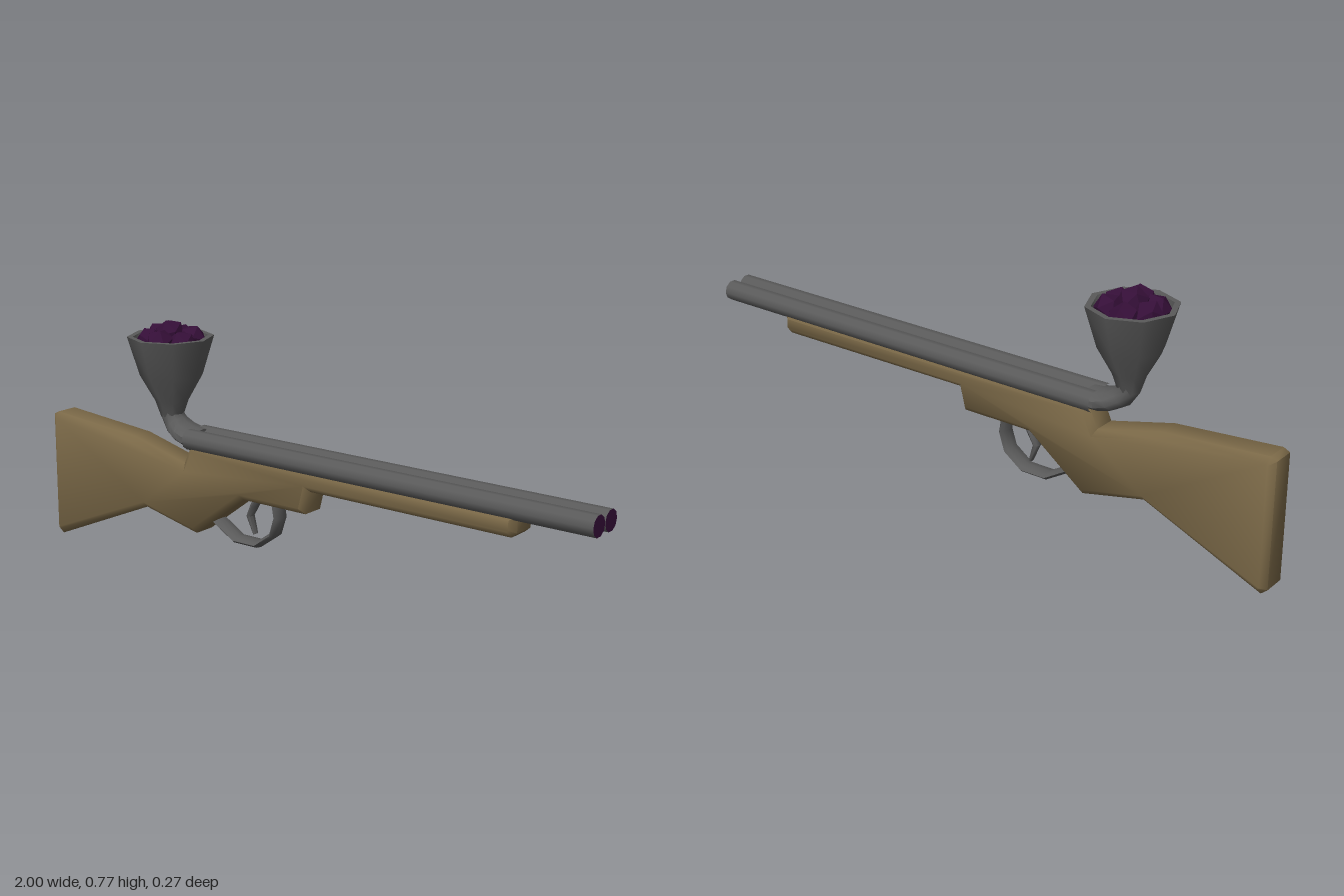
import * as THREE from 'three';
import { toCreasedNormals } from 'three/addons/utils/BufferGeometryUtils.js';

const mat = (name, color) => {
  const m = new THREE.MeshStandardMaterial({ color });
  m.name = name;
  return m;
};

// Lofts elliptical rings along a path in the xy plane; each stop is [x, y, radiusInPlane, radiusZ]
function loft(stops, sides) {
  const pos = [], index = [];
  const n = stops.length;
  stops.forEach(([x, y, rn, rz], i) => {
    const a = stops[Math.max(i - 1, 0)], b = stops[Math.min(i + 1, n - 1)];
    const len = Math.hypot(b[0] - a[0], b[1] - a[1]);
    const tx = (b[0] - a[0]) / len, ty = (b[1] - a[1]) / len;
    for (let j = 0; j < sides; j++) {
      const t = (j / sides) * Math.PI * 2;
      const c = Math.cos(t) * rn;
      pos.push(x - ty * c, y + tx * c, Math.sin(t) * rz);
    }
  });
  for (let i = 0; i < n - 1; i++) {
    for (let j = 0; j < sides; j++) {
      const k = (j + 1) % sides;
      const a = i * sides + j, b = i * sides + k;
      index.push(a, b, b + sides, a, b + sides, a + sides);
    }
  }
  // end caps
  const last = (n - 1) * sides;
  for (let j = 1; j < sides - 1; j++) {
    index.push(0, j + 1, j, last, last + j, last + j + 1);
  }
  const g = new THREE.BufferGeometry();
  g.setAttribute('position', new THREE.Float32BufferAttribute(pos, 3));
  g.setIndex(index);
  return toCreasedNormals(g, 0.9);
}

export function createModel() {
  const model = new THREE.Group();
  model.name = 'berryShotgun';
  const wood = mat('wood', 0x7a6847);
  const metal = mat('gunmetal', 0x5a5a5a);
  const berryColor = mat('berryPurple', 0x350f38);
  const add = (name, geometry, material, x = 0, y = 0, z = 0) => {
    const mesh = new THREE.Mesh(geometry, material);
    mesh.name = name;
    mesh.position.set(x, y, z);
    model.add(mesh);
    return mesh;
  };

  // Stock and fore-end: one side profile with chamfered edges
  const outline = [
    [-1, 0.02], [-0.98, 0.003], [-0.597, 0.166], [-0.39, 0.12], [-0.2, 0.263],
    [0.037, 0.263], [0.055, 0.335], [0.74, 0.333], [0.757, 0.348], [0.757, 0.402],
    [-0.405, 0.402], [-0.435, 0.337], [-0.645, 0.39], [-0.98, 0.418], [-1, 0.408],
  ].map(([x, y]) => new THREE.Vector2(x, y));
  const stock = new THREE.ExtrudeGeometry(new THREE.Shape(outline), {
    depth: 0.07, bevelEnabled: true, bevelSegments: 1,
    bevelSize: 0.018, bevelThickness: 0.018, bevelOffset: -0.018,
  });
  stock.translate(0, 0, -0.035);
  add('stock', toCreasedNormals(stock, 0.9), wood);

  // Twin barrels with dark muzzles
  const r = 0.032, barrelY = 0.416, rear = -0.42;
  for (const side of [-1, 1]) {
    const barrel = new THREE.CylinderGeometry(r, r, 1 - rear, 10, 1, true);
    barrel.rotateZ(-Math.PI / 2);
    add('barrel', barrel, metal, (1 + rear) / 2, barrelY, side * r);
    const muzzle = new THREE.CircleGeometry(r, 10);
    muzzle.rotateY(Math.PI / 2);
    add('muzzle', muzzle, berryColor, 1, barrelY, side * r);
  }

  // Bend that merges both barrels into the funnel neck
  add('feedBend', loft([
    [-0.39, 0.416, 0.03, 0.062], [-0.43, 0.418, 0.031, 0.062], [-0.465, 0.428, 0.032, 0.056],
    [-0.495, 0.447, 0.034, 0.044], [-0.512, 0.472, 0.034, 0.036], [-0.515, 0.495, 0.038, 0.038],
  ], 10), metal);

  // Funnel: outer wall, rim and inner wall
  const funnelX = -0.515;
  const profile = [
    [0.033, 0.465], [0.052, 0.52], [0.097, 0.6], [0.134, 0.722],
    [0.116, 0.722], [0.083, 0.61], [0.03, 0.53], [0, 0.53],
  ].map(([x, y]) => new THREE.Vector2(x, y));
  add('funnel', toCreasedNormals(new THREE.LatheGeometry(profile, 8), 0.9), metal, funnelX);

  // Berries heaped in the funnel
  const berry = (radius, x, y, z, turn) => {
    const g = new THREE.IcosahedronGeometry(radius, 0);
    // stand a vertex upright
    g.rotateX(-Math.atan2(1, (1 + Math.sqrt(5)) / 2));
    g.rotateZ(turn * 0.12);
    g.rotateY(turn);
    add('berry', g, berryColor, x, y, z);
  };
  berry(0.047, funnelX, 0.73, 0, 0);
  for (let i = 0; i < 6; i++) {
    const a = (i / 6) * Math.PI * 2 + 0.3;
    berry(0.046, funnelX + Math.cos(a) * 0.065, 0.705 + (i % 2) * 0.006, Math.sin(a) * 0.065, i);
  }

  // Trigger guard and trigger
  add('triggerGuard', loft([
    [-0.345, 0.178], [-0.31, 0.158], [-0.25, 0.122], [-0.165, 0.122],
    [-0.105, 0.165], [-0.087, 0.22], [-0.096, 0.275],
  ].map(([x, y]) => [x, y, 0.011, 0.031]), 8), metal);
  add('trigger', loft([
    [-0.165, 0.275, 0.011, 0.018], [-0.185, 0.24, 0.011, 0.018],
    [-0.202, 0.205, 0.01, 0.016], [-0.182, 0.15, 0.006, 0.01],
  ], 8), metal);

  return model;
}
